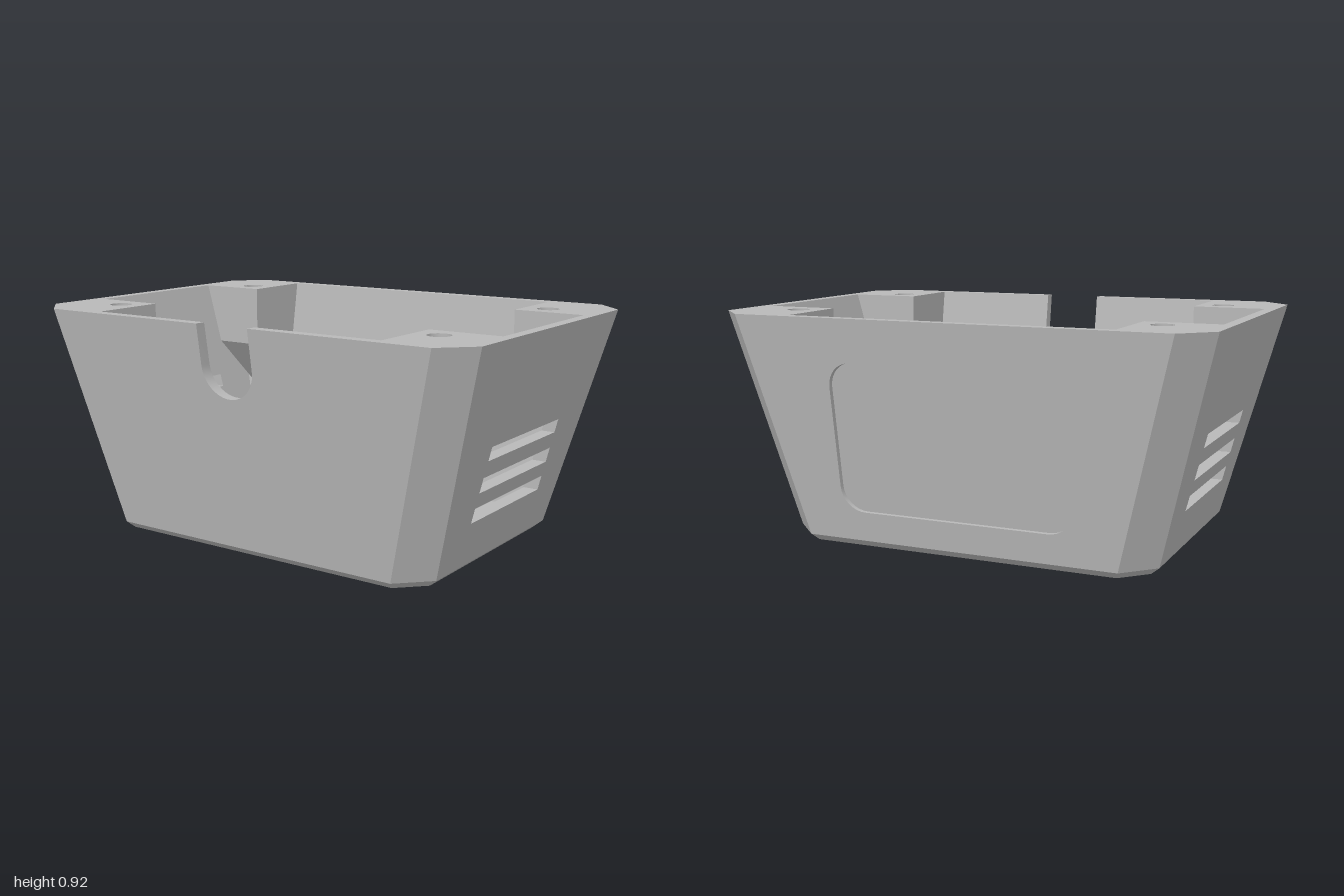
import * as THREE from 'three';
import { toCreasedNormals } from 'three/addons/utils/BufferGeometryUtils.js';

const H = 0.92, FLOOR = 0.05, BEVEL = 0.03;
const NOTCH_R = 0.12, NOTCH_Y = 0.76;
const POST_X = 0.66, POST_Z = 0.34, POST_Y = 0.66, TIP_Y = 0.38;
const BORE_R = 0.18, PILOT_R = 0.042, PILOT_X = 0.42, SCREW_R = 0.045;
const CORNERS = [[1, 1], [1, -1], [-1, -1], [-1, 1]];

// A profile gives [half width, half depth, corner cut] at height y
const profile = (y0, a, y1, b) => (y) => a.map((v, i) => v + (b[i] - v) * (y - y0) / (y1 - y0));
const outer = profile(BEVEL, [0.77, 0.565, 0.12], H, [1, 0.7, 0.12]);
const inner = profile(FLOOR, [0.71, 0.515, 0.1], H, [0.955, 0.655, 0.1]);
const bevel = profile(0, [0.735, 0.53, 0.1], BEVEL, [0.77, 0.565, 0.12]);

// Point on a wall: 0 front, 1 right (+x), 2 back, 3 left (-x)
function onWall(side, prof, u, y, inset = 0) {
  const [x, z] = prof(y);
  return [[u, y, z - inset], [x - inset, y, -u], [-u, y, -z + inset], [-x + inset, y, u]][side];
}

function poly(tris, pts, flip = false) {
  const p = flip ? [...pts].reverse() : pts;
  for (let i = 1; i < p.length - 1; i++) tris.push(...p[0], ...p[i], ...p[i + 1]);
}

function addShape(tris, shape, map, flip = false) {
  const g = new THREE.ShapeGeometry(shape, 16);
  const pos = g.attributes.position, idx = Array.from(g.index.array);
  if (flip) idx.reverse();
  for (const i of idx) tris.push(...map(pos.getX(i), pos.getY(i)));
}

// Side faces of an opening, from map a to the deeper map b
function tunnel(tris, pts, a, b, closed = true) {
  const n = closed ? pts.length : pts.length - 1;
  for (let i = 0; i < n; i++) {
    const p = pts[i], q = pts[(i + 1) % pts.length];
    poly(tris, [a(p.x, p.y), a(q.x, q.y), b(q.x, q.y), b(p.x, p.y)]);
  }
}

const pathOf = (pts) => new THREE.Path(pts);
const vec = (list) => list.map(([x, y]) => new THREE.Vector2(x, y));

function circle(x, y, r, n = 40) {
  return Array.from({ length: n }, (_, i) => {
    const t = i / n * Math.PI * 2;
    return new THREE.Vector2(x + r * Math.cos(t), y + r * Math.sin(t));
  });
}

function roundedRect(w, y0, y1, r) {
  const pts = [];
  [[w - r, y0 + r], [w - r, y1 - r], [-w + r, y1 - r], [-w + r, y0 + r]].forEach(([cx, cy], k) => {
    for (let i = 0; i <= 8; i++) {
      const t = (k - 1 + i / 8) * Math.PI / 2;
      pts.push(new THREE.Vector2(cx + r * Math.cos(t), cy + r * Math.sin(t)));
    }
  });
  return pts;
}

const slots = [[0.21, 0.27], [0.33, 0.39], [0.455, 0.51]].map(([a, b]) =>
  vec([[-0.28, a], [0.28, a], [0.28, b], [-0.28, b]]));
const recess = roundedRect(0.485, 0.15, 0.75, 0.1);
const notch = [new THREE.Vector2(-NOTCH_R, H)];
for (let i = 0; i <= 24; i++) {
  const t = Math.PI * (1 + i / 24);
  notch.push(new THREE.Vector2(NOTCH_R * Math.cos(t), NOTCH_Y + NOTCH_R * Math.sin(t)));
}
notch.push(new THREE.Vector2(NOTCH_R, H));

// Four walls and four corner facets between two heights
function skin(prof, y0, y1, { flip = false, holes = [], notched = false } = {}) {
  const tris = [];
  for (let side = 0; side < 4; side++) {
    const half = (y) => prof(y)[side % 2] - prof(y)[2];
    const pts = vec([[-half(y0), y0], [half(y0), y0], [half(y1), y1]]);
    if (notched && side === 0) pts.push(...[...notch].reverse());
    pts.push(new THREE.Vector2(-half(y1), y1));
    const shape = new THREE.Shape(pts);
    shape.holes = (holes[side] || []).map(pathOf);
    addShape(tris, shape, (u, v) => onWall(side, prof, u, v), flip);
  }
  for (const [sx, sz] of CORNERS) {
    const [a, b] = [y0, y1].map((y) => {
      const [x, z, c] = prof(y);
      return [[sx * (x - c), y, sz * z], [sx * x, y, sz * (z - c)]];
    });
    poly(tris, [a[0], a[1], b[1], b[0]], (sx * sz < 0) !== flip);
  }
  return tris;
}

function octagon([x, z, c]) {
  return vec([[x - c, -z], [x, c - z], [x, z - c], [x - c, z], [c - x, z], [-x, z - c], [-x, c - z], [c - x, -z]]);
}

// Flat horizontal map; shape v runs toward the back
const level = (y) => (u, v) => [u, y, -v];

export function createModel() {
  const group = new THREE.Group();
  group.name = 'enclosure';
  const grey = new THREE.MeshStandardMaterial({ color: 0xb8b8b8 });
  grey.name = 'grey plastic';
  const add = (name, tris) => {
    let g = new THREE.BufferGeometry();
    g.setAttribute('position', new THREE.Float32BufferAttribute(tris, 3));
    g = toCreasedNormals(g, 0.4);
    const mesh = new THREE.Mesh(g, grey);
    mesh.name = name;
    group.add(mesh);
  };

  // Tapered shell
  add('outerWalls', skin(outer, BEVEL, H, { notched: true, holes: [[], slots, [recess], slots] }));
  add('innerWalls', skin(inner, FLOOR, H, { flip: true, notched: true, holes: [[], slots, [], slots] }));
  add('baseBevel', skin(bevel, 0, BEVEL));

  // Cable notch and side vents
  const notchTris = [], ventTris = [];
  tunnel(notchTris, notch, (u, v) => onWall(0, outer, u, v), (u, v) => onWall(0, inner, u, v), false);
  add('cableNotch', notchTris);
  for (const side of [1, 3]) for (const s of slots) {
    tunnel(ventTris, s, (u, v) => onWall(side, outer, u, v), (u, v) => onWall(side, inner, u, v));
  }
  add('sideVents', ventTris);

  // Shallow label recess on the back
  const recessTris = [];
  const sunk = (u, v) => onWall(2, outer, u, v, 0.02);
  tunnel(recessTris, recess, (u, v) => onWall(2, outer, u, v), sunk);
  addShape(recessTris, new THREE.Shape(recess), sunk);
  add('backRecess', recessTris);

  // Floor with the central bore and blind pilot holes underneath
  const base = [], bore = circle(0, 0, BORE_R, 64);
  const under = new THREE.Shape(octagon(bevel(0)));
  const pilots = [-PILOT_X, PILOT_X].map((x) => circle(x, 0, PILOT_R));
  under.holes = [bore, ...pilots].map(pathOf);
  addShape(base, under, level(0), true);
  const top = new THREE.Shape(octagon(inner(FLOOR)));
  top.holes = [pathOf(bore)];
  addShape(base, top, level(FLOOR));
  tunnel(base, bore, level(FLOOR), level(0));
  for (const p of pilots) {
    tunnel(base, [...p].reverse(), level(0), level(0.15));
    addShape(base, new THREE.Shape(p), level(0.15), true);
  }
  add('floor', base);

  // Standoffs over the pilot holes
  for (const x of [-PILOT_X, PILOT_X]) {
    const boss = new THREE.Mesh(new THREE.CylinderGeometry(0.09, 0.09, 0.15, 40, 1, true), grey);
    boss.name = 'standoff';
    boss.position.set(x, FLOOR + 0.075, 0);
    const cap = new THREE.Mesh(new THREE.CircleGeometry(0.09, 40).rotateX(-Math.PI / 2), grey);
    cap.name = 'standoffTop';
    cap.position.set(x, FLOOR + 0.15, 0);
    group.add(boss, cap);
  }

  // Rim, including the tops of the corner posts
  const [ox, oz, oc] = outer(H), [ix, iz] = inner(H), n = NOTCH_R, px = POST_X, pz = POST_Z;
  const rim = new THREE.Shape(vec([
    [n, -oz], [ox - oc, -oz], [ox, oc - oz], [ox, oz - oc], [ox - oc, oz],
    [oc - ox, oz], [-ox, oz - oc], [-ox, oc - oz], [oc - ox, -oz], [-n, -oz],
    [-n, -iz], [-px, -iz], [-px, -pz], [-ix, -pz], [-ix, pz], [-px, pz], [-px, iz],
    [px, iz], [px, pz], [ix, pz], [ix, -pz], [px, -pz], [px, -iz], [n, -iz]]));
  const screws = CORNERS.map(([sx, sz]) => circle(sx * 0.76, sz * 0.44, SCREW_R, 32));
  rim.holes = screws.map(pathOf);
  const rimTris = [];
  addShape(rimTris, rim, level(H));
  for (const s of screws) {
    tunnel(rimTris, s, level(H), level(H - 0.24));
    addShape(rimTris, new THREE.Shape(s), level(H - 0.24));
  }
  add('rimAndScrewHoles', rimTris);

  // Corner posts tapering down into the wall corners
  const [bx, bz] = inner(POST_Y), [tx, tz] = inner(TIP_Y);
  for (const [sx, sz] of CORNERS) {
    const tris = [], at = (x, y, z) => [sx * x, y, sz * z], flip = sx * sz < 0;
    const edgeTop = at(px, H, pz), edgeLow = at(px, POST_Y, pz);
    const zLow = at(px, POST_Y, bz), xLow = at(bx, POST_Y, pz);
    const tip = at(tx - 0.02, TIP_Y, tz - 0.02);
    poly(tris, [edgeTop, edgeLow, zLow, at(px, H, iz)], flip);
    poly(tris, [edgeTop, at(ix, H, pz), xLow, edgeLow], flip);
    poly(tris, [edgeLow, tip, zLow], flip);
    poly(tris, [edgeLow, xLow, tip], flip);
    add('cornerPost', tris);
  }
  return group;
}
